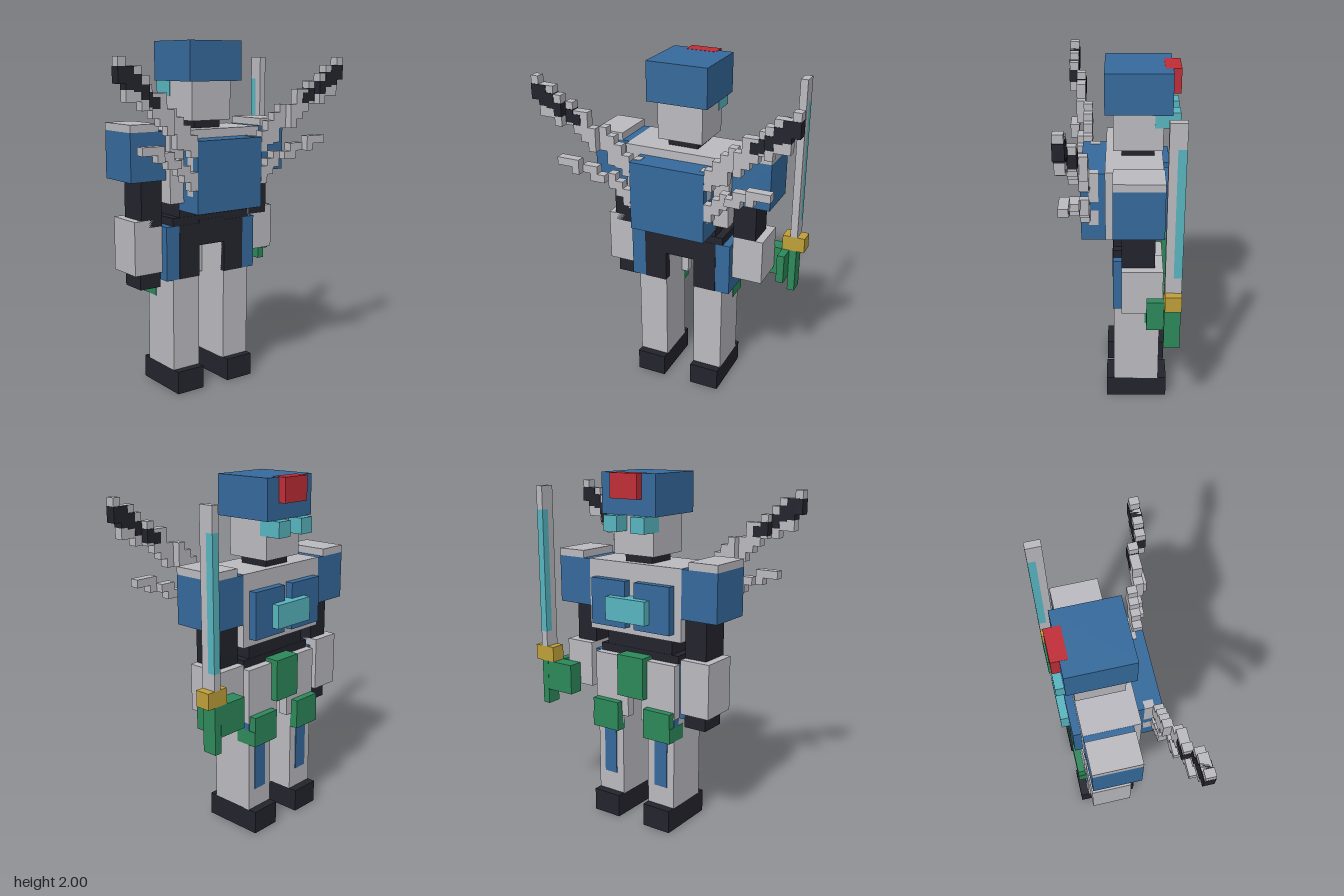
import * as THREE from 'three';

const mat = (name, color) => {
  const m = new THREE.MeshStandardMaterial({ color });
  m.name = name;
  return m;
};

export function createModel() {
  const model = new THREE.Group();
  model.name = 'blockRobot';
  const blue = mat('blue', 0x35699b), grey = mat('lightGrey', 0xb9b9bf), dark = mat('darkGrey', 0x23232d);
  const green = mat('green', 0x2d885a), gold = mat('gold', 0xbf9f3a), red = mat('red', 0xbf2d37), cyan = mat('cyan', 0x58b4bf);

  // Box from its limits on each axis
  const box = (name, m, x0, x1, y0, y1, z0, z1) => {
    const mesh = new THREE.Mesh(new THREE.BoxGeometry(x1 - x0, y1 - y0, z1 - z0), m);
    mesh.position.set((x0 + x1) / 2, (y0 + y1) / 2, (z0 + z1) / 2);
    mesh.name = name;
    model.add(mesh);
  };
  // Same box on both sides of x = 0
  const pair = (name, m, x0, x1, ...rest) => {
    box(name + 'Left', m, x0, x1, ...rest);
    box(name + 'Right', m, -x1, -x0, ...rest);
  };

  // Head
  box('helmet', blue, -0.178, 0.178, 1.778, 2, -0.267, 0.089);
  box('helmetCrest', red, -0.089, 0.089, 1.867, 2.001, -0.311, -0.225);
  box('face', grey, -0.133, 0.133, 1.56, 1.778, -0.222, 0.045);
  pair('visor', cyan, 0.045, 0.135, 1.69, 1.777, -0.311, -0.176);
  box('neck', dark, -0.089, 0.089, 1.51, 1.56, -0.178, 0);

  // Torso, chest armour and backpack
  box('torso', grey, -0.311, 0.311, 1.115, 1.516, -0.222, 0.087);
  pair('chestPlate', blue, 0.03, 0.265, 1.156, 1.42, -0.267, -0.22);
  box('chestLight', cyan, -0.133, 0.133, 1.2, 1.333, -0.311, -0.22);
  box('backpack', blue, -0.222, 0.222, 1.067, 1.467, 0.045, 0.222);

  // Waist and skirt armour
  box('waist', dark, -0.222, 0.222, 0.85, 1.115, -0.178, 0.045);
  box('belt', dark, -0.267, 0.267, 0.978, 1.025, -0.18, 0.048);
  box('rearSkirtCentre', dark, -0.089, 0.089, 0.85, 1.0, -0.1, 0.05);
  pair('rearSkirt', dark, 0.089, 0.225, 0.67, 0.98, 0, 0.05);
  pair('sideSkirt', blue, 0.225, 0.311, 0.67, 0.98, -0.178, 0.047);
  pair('frontSkirt', grey, 0.089, 0.275, 0.67, 0.98, -0.226, -0.17);
  pair('frontSkirtInner', grey, 0.045, 0.089, 0.625, 0.9, -0.226, -0.17);
  box('crotchGuard', green, -0.089, 0.089, 0.76, 1.0, -0.267, -0.17);

  // Legs
  pair('leg', grey, 0.089, 0.267, 0.13, 0.86, -0.218, 0.044);
  pair('foot', dark, 0.089, 0.267, 0, 0.133, -0.267, 0.089);
  pair('shinStripe', blue, 0.138, 0.222, 0.25, 0.6, -0.223, -0.217);
  pair('kneePlate', green, 0.089, 0.267, 0.54, 0.711, -0.267, -0.2);
  pair('kneeSide', green, 0.222, 0.27, 0.54, 0.625, -0.267, -0.133);
  pair('kneeBracket', blue, 0.222, 0.27, 0.625, 0.672, -0.222, -0.176);

  // Arms
  pair('shoulder', blue, 0.311, 0.533, 1.245, 1.514, -0.222, 0.044);
  pair('shoulderCap', grey, 0.356, 0.533, 1.514, 1.556, -0.222, 0.044);
  pair('upperArm', dark, 0.311, 0.444, 0.98, 1.25, -0.178, 0);
  box('forearmLeft', grey, 0.311, 0.489, 0.76, 1.022, -0.222, 0);
  box('forearmRight', grey, -0.489, -0.311, 0.715, 1.022, -0.222, 0);
  box('handRight', dark, -0.444, -0.311, 0.625, 0.715, -0.178, -0.02);

  // Sword: hilt, guard and blade with a bright edge
  box('gripBlock', green, 0.4, 0.576, 0.713, 0.889, -0.311, -0.224);
  box('gripSide', green, 0.533, 0.577, 0.714, 0.888, -0.3, -0.133);
  box('swordHandle', green, 0.577, 0.62, 0.625, 0.889, -0.311, -0.224);
  box('swordGuard', gold, 0.533, 0.665, 0.889, 0.978, -0.311, -0.224);
  box('blade', grey, 0.578, 0.62, 0.978, 1.911, -0.267, -0.224);
  box('bladeFootEdge', grey, 0.578, 0.62, 0.978, 1.067, -0.311, -0.267);
  box('bladeEdge', cyan, 0.578, 0.62, 1.067, 1.778, -0.311, -0.267);
  box('bladeTipEdge', grey, 0.578, 0.62, 1.778, 1.911, -0.311, -0.267);

  // Stepped wings: one block per column, [bottom, top], moving back as they spread
  const u = 2 / 45;
  const upper = [[1.3, 1.47], [1.38, 1.5], [1.42, 1.555], [1.43, 1.6], [1.51, 1.645], [1.51, 1.645], [1.56, 1.73],
    [1.6, 1.73], [1.645, 1.775], [1.645, 1.82], [1.69, 1.865], [1.69, 1.865], [1.78, 1.91]];
  const lower = [[1.16, 1.25], [1.2, 1.3], [1.25, 1.34], [1.29, 1.38], [1.335, 1.38], [1.335, 1.425],
    [1.38, 1.425], [1.38, 1.465], [1.42, 1.465], [1.42, 1.465]];
  const wing = (name, cols, bands) => cols.forEach(([y0, y1], i) => {
    const z = (3 + bands.filter(b => i >= b).length) * u;
    pair(name, grey, (i + 4) * u, (i + 5) * u, y0, y1, z - 0.008, z + u);
  });
  wing('upperWing', upper, [1, 5, 9]);
  wing('lowerWing', lower, [1, 4, 7]);
  const darkSteps = [[11, 1.65, 1.71], [12, 1.66, 1.735], [13, 1.7, 1.775], [14, 1.74, 1.825], [15, 1.75, 1.865], [16, 1.78, 1.865]];
  darkSteps.forEach(([c, y0, y1]) => {
    const z = (c < 13 ? 5 : 6) * u;
    pair('wingDarkStep', dark, c * u - 0.001, (c + 1) * u + 0.001, y0, y1, z - 0.011, z + u + 0.003);
  });

  return model;
}
